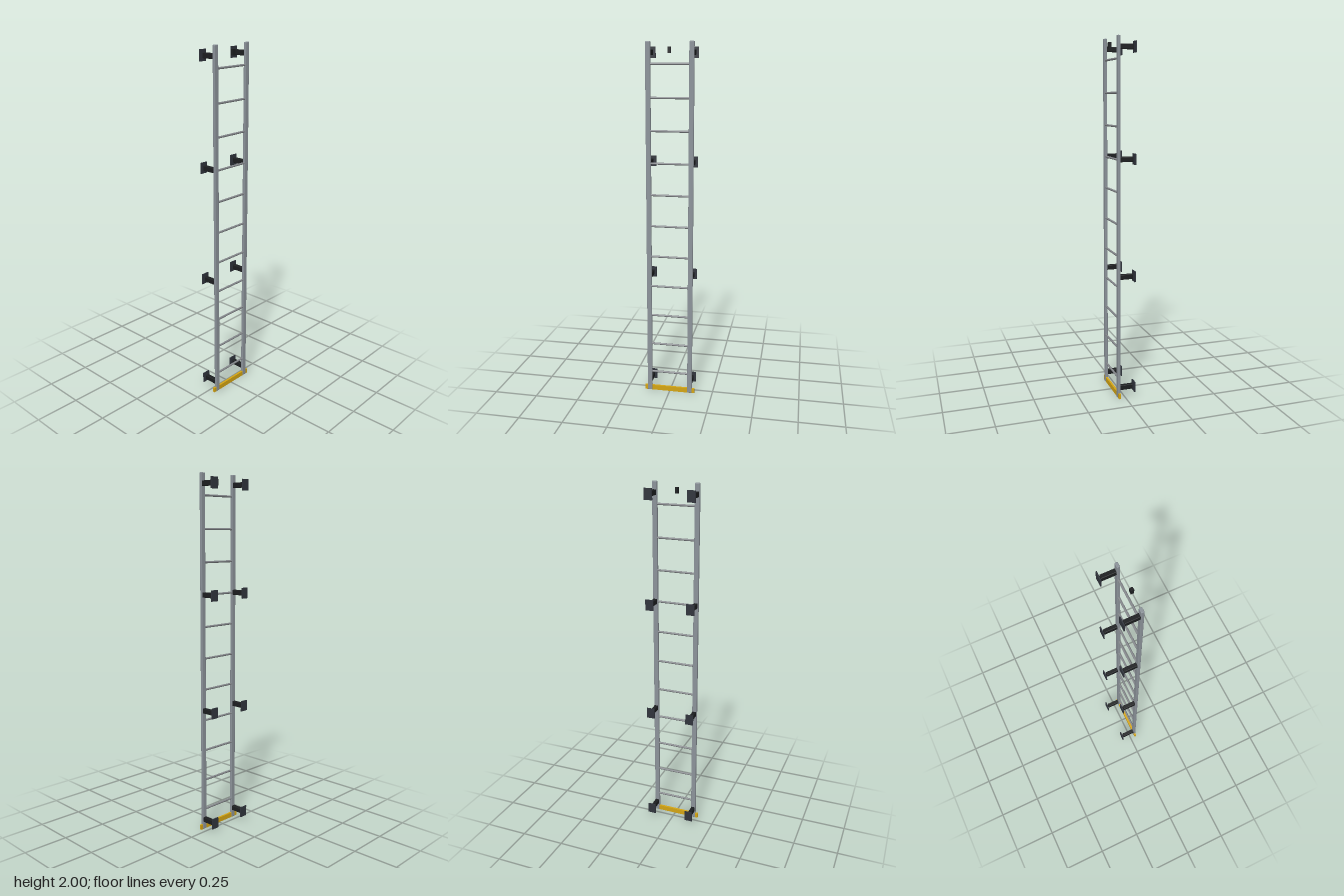
import * as THREE from 'three';
import { RoundedBoxGeometry } from 'three/addons/geometries/RoundedBoxGeometry.js';

const material = (color) => new THREE.MeshStandardMaterial({ color });

export function createModel() {
  const group = new THREE.Group();
  const railGrey = material(0x8c939a);
  const rungGrey = material(0x85888c);
  const yellow = material(0xd4a514);
  const black = material(0x1c1e20);
  const plateGrey = material(0x30343c);

  const add = (name, geometry, mat, x, y, z) => {
    const mesh = new THREE.Mesh(geometry, mat);
    mesh.name = name;
    mesh.position.set(x, y, z);
    group.add(mesh);
    return mesh;
  };

  const railX = 0.118, railZ = 0.035;
  const railGeo = new RoundedBoxGeometry(0.027, 1.995, 0.016, 2, 0.003);
  const armGeo = new RoundedBoxGeometry(0.022, 0.028, 0.076, 2, 0.003);
  const plateGeo = new THREE.BoxGeometry(0.046, 0.06, 0.006);

  // Side rails with four stand-off brackets each
  for (const side of [-1, 1]) {
    const label = side > 0 ? 'left' : 'right';
    add(label + 'Rail', railGeo, railGrey, side * railX, 1.0025, railZ);
    for (const y of [0.063, 0.709, 1.357, 1.944]) {
      add(label + 'BracketArm', armGeo, black, side * railX, y, -0.009);
      add(label + 'WallPlate', plateGeo, plateGrey, side * railX, y, -0.055);
    }
  }

  // Evenly spaced rungs
  const rungGeo = new THREE.CylinderGeometry(0.006, 0.006, 0.222, 12).rotateZ(Math.PI / 2);
  for (let i = 0; i < 11; i++) {
    add('rung', rungGeo, rungGrey, 0, 0.122 + i * 0.1762, railZ);
  }

  // Coloured bar across the foot
  add('footBar', new THREE.BoxGeometry(0.294, 0.028, 0.012), yellow, 0, 0.019, railZ);

  // Small block between the rail tops
  add('topBlock', new THREE.BoxGeometry(0.016, 0.032, 0.016), black, 0, 1.956, 0.047);

  // Bring the lowest point to the ground
  const box = new THREE.Box3().setFromObject(group);
  for (const part of group.children) part.position.y -= box.min.y;

  return group;
}
